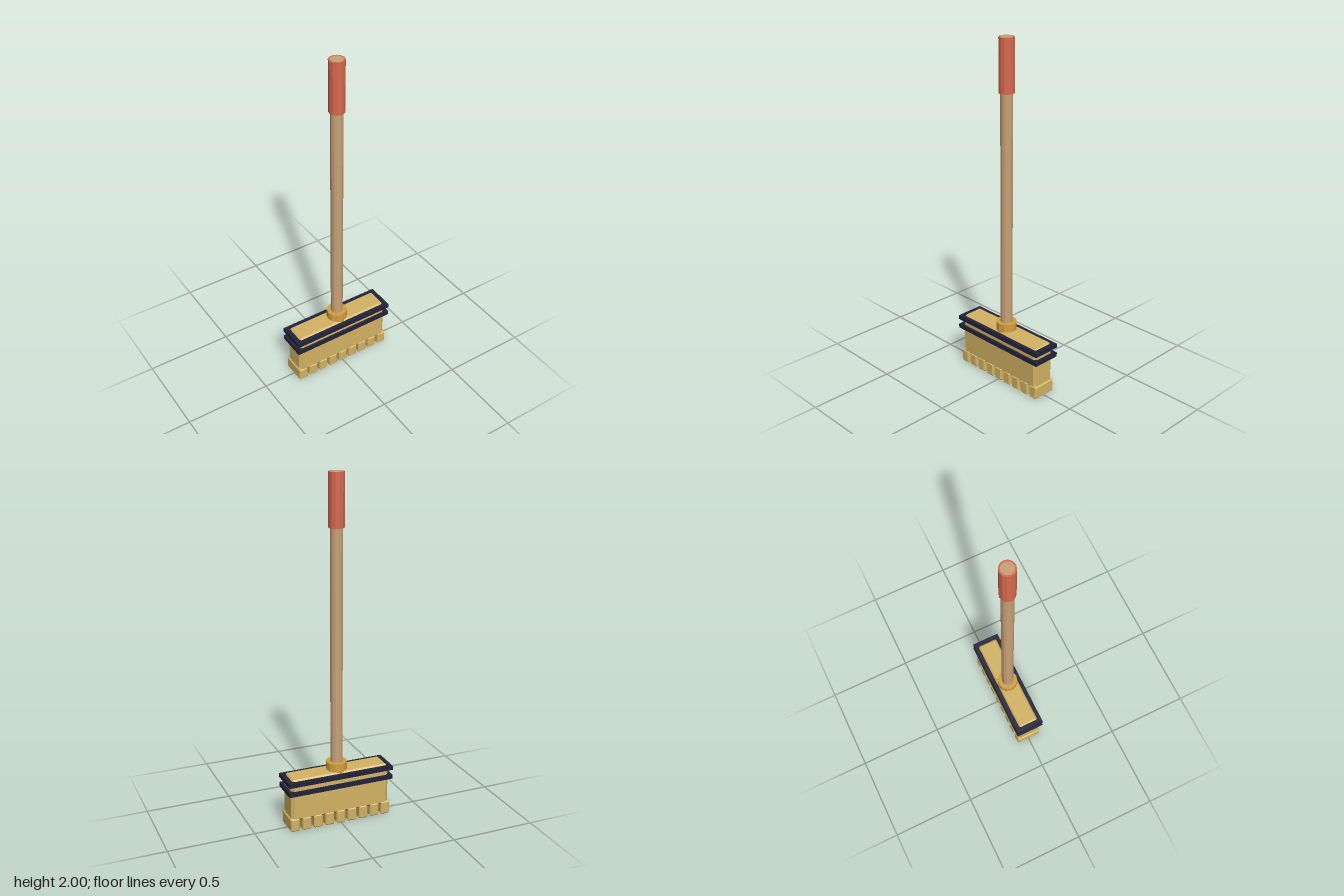
import * as THREE from 'three';
import { ConvexGeometry } from 'three/addons/geometries/ConvexGeometry.js';

const paint = (name, color) => {
  const m = new THREE.MeshStandardMaterial({ color, flatShading: true });
  m.name = name;
  return m;
};

// Box with every edge cut by a flat chamfer c, from y0 to y1
function chamferBox(hx, hz, y0, y1, c) {
  const h = [hx, (y1 - y0) / 2, hz];
  const points = [];
  for (const sx of [-1, 1]) for (const sy of [-1, 1]) for (const sz of [-1, 1]) {
    for (let axis = 0; axis < 3; axis++) {
      const p = h.map((v, i) => (i === axis ? v : v - c));
      points.push(new THREE.Vector3(sx * p[0], sy * p[1], sz * p[2]));
    }
  }
  return new ConvexGeometry(points).translate(0, (y0 + y1) / 2, 0);
}

export function createModel() {
  const bristle = paint('straw', 0xd4b464);
  const binding = paint('dark binding', 0x22223a);
  const brass = paint('ferrule gold', 0xd4a03c);
  const wood = paint('wood', 0xc9a277);
  const red = paint('grip red', 0xd9694f);

  const group = new THREE.Group();
  group.name = 'broom';
  const add = (name, geometry, material, parent = group) => {
    const mesh = new THREE.Mesh(geometry, material);
    mesh.name = name;
    parent.add(mesh);
    return mesh;
  };
  const rod = (name, r, y0, y1, material) =>
    add(name, new THREE.CylinderGeometry(r, r, y1 - y0, 12).translate(0, (y0 + y1) / 2, 0), material);

  // Straw head
  add('head', chamferBox(0.3, 0.07, 0.06, 0.314, 0.018), bristle);

  // Row of tufts along the bottom
  const tufts = new THREE.Group();
  tufts.name = 'tufts';
  group.add(tufts);
  for (let i = -4; i <= 4; i++) {
    add('tuft', chamferBox(0.0275, 0.073, 0, 0.08, 0.007), bristle, tufts).position.x = i * 0.07;
  }

  // Two bindings around the head
  for (const y of [0.237, 0.293]) {
    add('binding', new THREE.BoxGeometry(0.636, 0.025, 0.168), binding).position.y = y;
  }

  // Ferrule, pole and grip
  rod('ferrule', 0.06, 0.3, 0.362, brass);
  rod('pole', 0.035, 0.31, 2, wood);
  rod('grip', 0.044, 1.705, 1.9995, red);

  return group;
}
